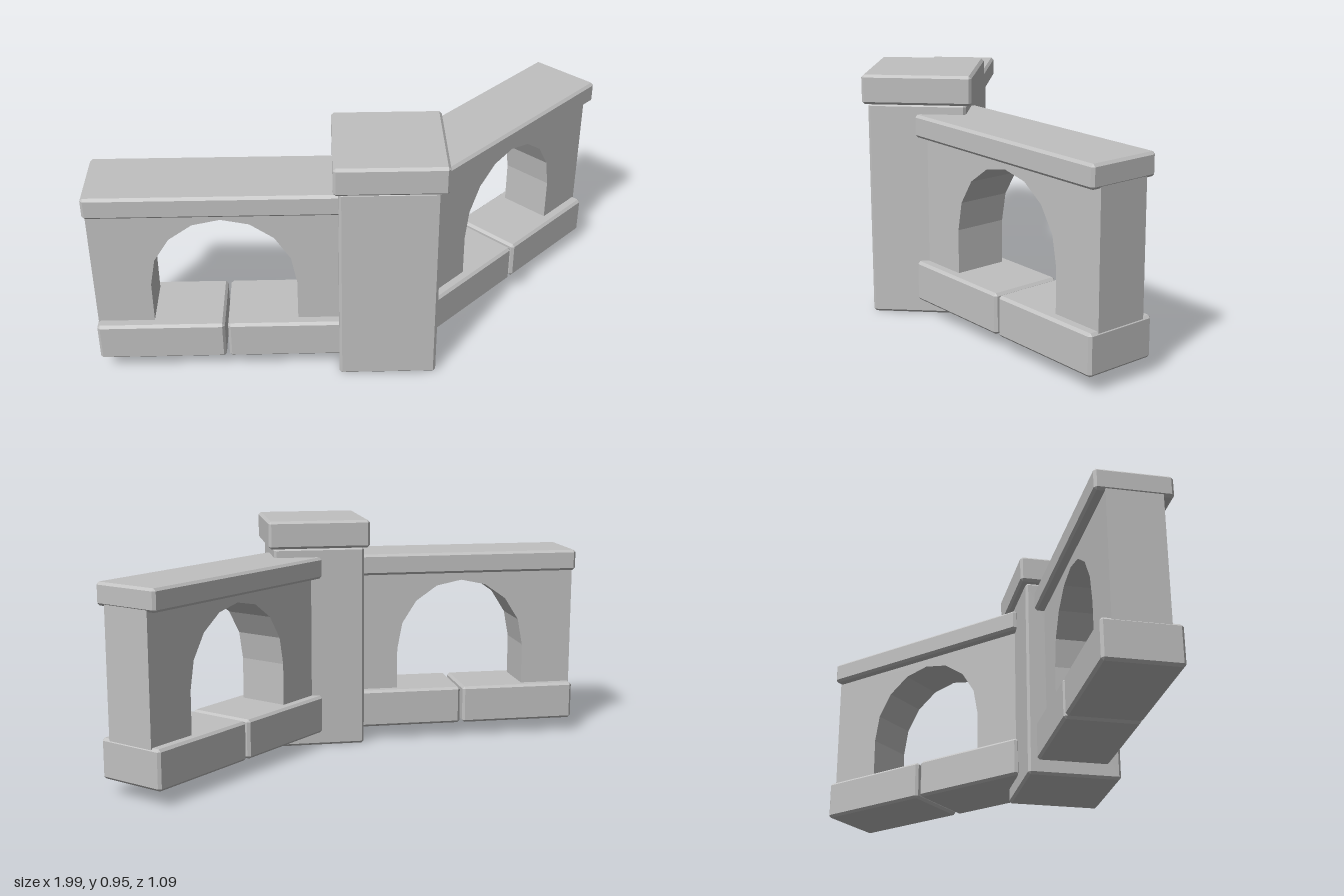
import * as THREE from 'three';
import { ConvexGeometry } from 'three/addons/geometries/ConvexGeometry.js';

const stone = new THREE.MeshStandardMaterial({ color: 0xc0c0c0 });
stone.name = 'grey stone';

const LENGTH = 0.985, DEPTH = 0.29;

// Box with every edge chamfered: three points near each corner
function stoneBlock(name, w, h, d, x, y, z, c = 0.01) {
  const points = [];
  for (const sx of [-1, 1]) for (const sy of [-1, 1]) for (const sz of [-1, 1]) {
    for (const [a, b, e] of [[0, c, c], [c, 0, c], [c, c, 0]]) {
      points.push(new THREE.Vector3(sx * (w / 2 - a), sy * (h / 2 - b), sz * (d / 2 - e)));
    }
  }
  const mesh = new THREE.Mesh(new ConvexGeometry(points), stone);
  mesh.name = name;
  mesh.position.set(x, y, z);
  return mesh;
}

// Wall with a faceted arch, thinner than the slabs above and below
function archWall() {
  const half = LENGTH / 2 - 0.003, radius = 0.275, spring = 0.395, bottom = 0.2, top = 0.73;
  const shape = new THREE.Shape();
  shape.moveTo(-half, bottom);
  shape.lineTo(-radius, bottom);
  for (let i = 0; i <= 8; i++) {
    const a = Math.PI * (1 - i / 8);
    shape.lineTo(radius * Math.cos(a), spring - 0.01 + 0.29 * Math.sin(a));
  }
  shape.lineTo(radius, bottom);
  shape.lineTo(half, bottom);
  shape.lineTo(half, top);
  shape.lineTo(-half, top);
  shape.closePath();
  const thickness = 0.21;
  const geometry = new THREE.ExtrudeGeometry(shape, { depth: thickness, bevelEnabled: false });
  geometry.translate(0, 0, -thickness / 2);
  const mesh = new THREE.Mesh(geometry, stone);
  mesh.name = 'archWall';
  return mesh;
}

// One balustrade section, running along x and centred on its middle
function wallSection(name) {
  const section = new THREE.Group();
  section.name = name;
  const gap = 0.012, blockLength = (LENGTH - gap) / 2;
  section.add(archWall());
  section.add(stoneBlock('copingSlab', LENGTH, 0.087, DEPTH, 0, 0.7525, 0));
  for (const side of [-1, 1]) {
    section.add(stoneBlock('baseBlock', blockLength, 0.157, DEPTH,
      side * (blockLength + gap) / 2, 0.1375, 0));
  }
  return section;
}

export function createModel() {
  const model = new THREE.Group();
  model.name = 'cornerBalustrade';

  // Corner pillar and its cap
  model.add(stoneBlock('pillar', 0.372, 0.834, 0.372, 0.11, 0.417, 0.34));
  model.add(stoneBlock('pillarCap', 0.415, 0.113, 0.415, 0.112, 0.89, 0.337));

  // Straight section
  const straight = wallSection('straightSection');
  straight.position.set(-1 + LENGTH / 2, 0, 0.335);
  model.add(straight);

  // Section turned 45 degrees towards the back
  const angled = wallSection('angledSection');
  angled.rotation.y = Math.PI / 4;
  const reach = LENGTH / 2 * Math.SQRT1_2;
  angled.position.set(0.8975 - reach, 0, -0.449 + reach);
  model.add(angled);

  return model;
}
